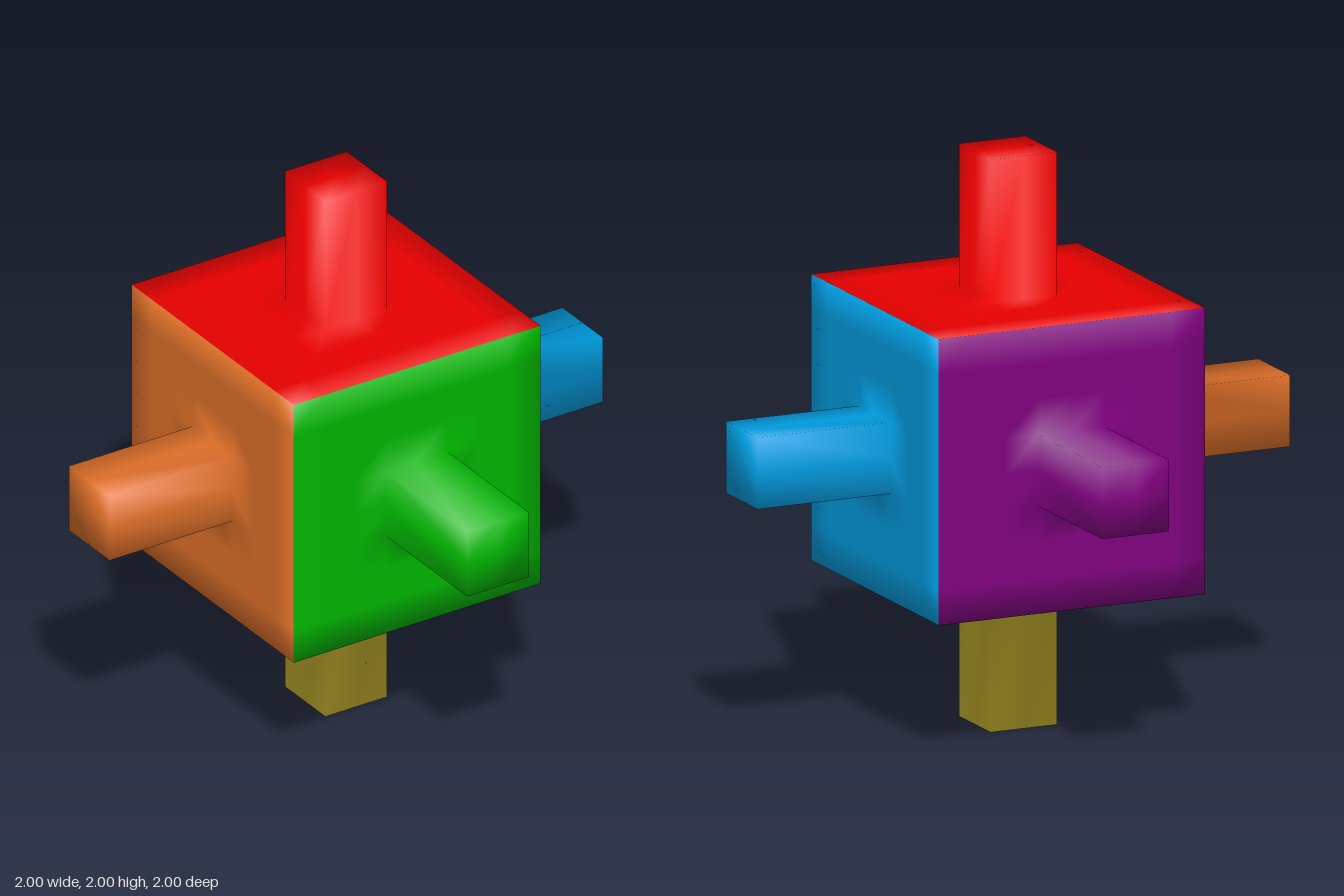
import * as THREE from 'three';

const HALF = 0.5;    // half the cube
const PEG = 0.125;   // half the peg width, also one cell of the plate

const at = (v, edge) => Math.abs(Math.abs(v) - edge) < 1e-4;

// Keep only the triangles whose centre passes the test
function keepTriangles(geo, test) {
  const p = geo.attributes.position, idx = geo.index.array, kept = [];
  for (let i = 0; i < idx.length; i += 3) {
    const c = new THREE.Vector3();
    for (let k = 0; k < 3; k++) c.add(new THREE.Vector3().fromBufferAttribute(p, idx[i + k]));
    if (test(c.divideScalar(3))) kept.push(idx[i], idx[i + 1], idx[i + 2]);
  }
  geo.setIndex(kept);
  geo.clearGroups();
}

// Soft normals shared across cube edges, peg edges and the peg's foot
function softenNormals(geo) {
  const p = geo.attributes.position, n = new THREE.Vector3();
  for (let i = 0; i < p.count; i++) {
    const x = p.getX(i), y = p.getY(i), z = p.getZ(i);
    n.set(0, 1, 0);
    if (at(x, HALF)) n.x = Math.sign(x);
    if (at(z, HALF)) n.z = Math.sign(z);
    if (Math.max(Math.abs(x), Math.abs(z)) < PEG + 1e-4) {
      if (at(x, PEG)) n.x = Math.sign(x);
      if (at(z, PEG)) n.z = Math.sign(z);
      if (at(x, PEG) && at(z, PEG) && at(y, HALF)) n.y = 3;
    }
    n.normalize();
    geo.attributes.normal.setXYZ(i, n.x, n.y, n.z);
  }
}

// One cube face, open where the peg grows out of it
function makePlate() {
  const geo = new THREE.PlaneGeometry(2 * HALF, 2 * HALF, 8, 8);
  geo.rotateX(-Math.PI / 2).translate(0, HALF, 0);
  keepTriangles(geo, c => Math.max(Math.abs(c.x), Math.abs(c.z)) > PEG);
  softenNormals(geo);
  return geo;
}

// Square peg without its hidden foot
function makePeg() {
  const geo = new THREE.BoxGeometry(2 * PEG, 0.5, 2 * PEG, 2, 1, 2);
  geo.translate(0, HALF + 0.25, 0);
  keepTriangles(geo, c => c.y > HALF + 0.01);
  softenNormals(geo);
  return geo;
}

export function createModel() {
  const model = new THREE.Group();
  model.name = 'peggedCube';
  const plate = makePlate(), peg = makePeg();
  const q = Math.PI / 2;

  // name, colour name, colour, turn about x, turn about z
  const sides = [
    ['top', 'red', 0xe80000, 0, 0],
    ['bottom', 'yellow', 0xdec634, 2 * q, 0],
    ['front', 'green', 0x00b600, q, 0],
    ['back', 'purple', 0x800080, -q, 0],
    ['left', 'blue', 0x00a2e8, 0, -q],
    ['right', 'orange', 0xe3722a, 0, q],
  ];
  for (const [name, colorName, color, rx, rz] of sides) {
    const material = new THREE.MeshStandardMaterial({ color });
    material.name = colorName;
    const side = new THREE.Group();
    side.name = name + 'Side';
    for (const [part, geo] of [['Face', plate], ['Peg', peg]]) {
      const mesh = new THREE.Mesh(geo, material);
      mesh.name = name + part;
      side.add(mesh);
    }
    side.rotation.set(rx, 0, rz);
    side.position.y = 1;
    model.add(side);
  }
  return model;
}
